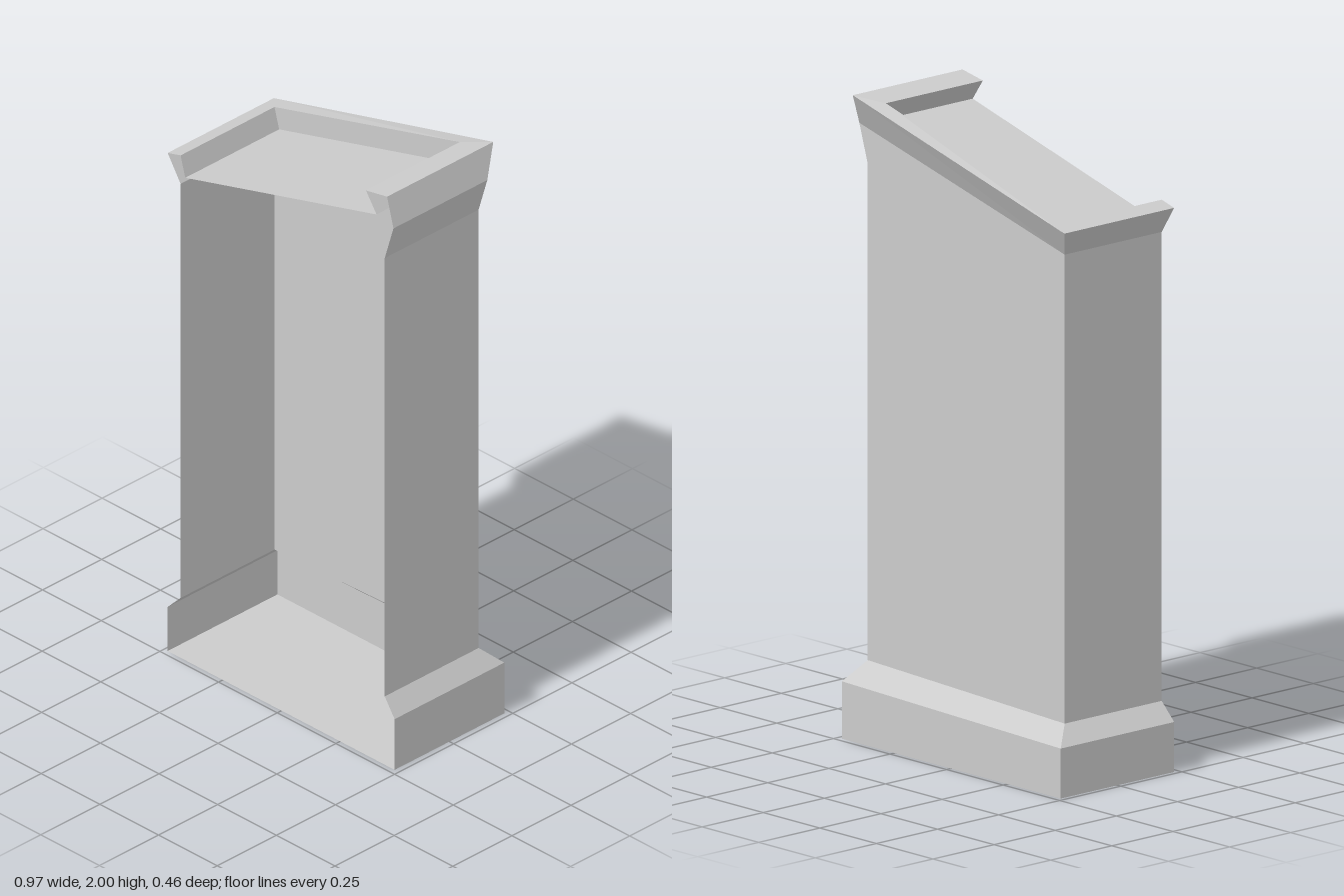
import * as THREE from 'three';

const FRONT = 0.232; // open front plane

// U-shaped section: left front, left back, right back, right front
const section = ([xl, yl, xr, yr, back]) => [
  [xl, yl, FRONT], [xl, yl, back], [xr, yr, back], [xr, yr, FRONT],
];

// Quad as two flat triangles, corners counter-clockwise from outside
const quad = (a, b, c, d) => [a, b, c, a, c, d];

function makeMesh(name, points, material) {
  const geometry = new THREE.BufferGeometry();
  geometry.setAttribute('position', new THREE.Float32BufferAttribute(points.flat(), 3));
  geometry.computeVertexNormals();
  const mesh = new THREE.Mesh(geometry, material);
  mesh.name = name;
  return mesh;
}

// Three-sided shell joining consecutive sections
function shell(levels) {
  const rings = levels.map(section);
  const points = [];
  for (let i = 0; i + 1 < rings.length; i++) {
    const low = rings[i], high = rings[i + 1];
    for (let j = 0; j < 3; j++) {
      points.push(...quad(low[j], high[j], high[j + 1], low[j + 1]));
    }
  }
  return points;
}

export function createModel() {
  const group = new THREE.Group();
  group.name = 'slantedPedestal';
  const material = new THREE.MeshStandardMaterial({
    color: 0xcccccc, flatShading: true, side: THREE.DoubleSide,
  });

  // Levels: left x, left y, right x, right y, back z
  const foot = [-0.485, 0, 0.482, 0, -0.232];
  const plinthTop = [-0.485, 0.155, 0.482, 0.178, -0.232];
  const bodyBottom = [-0.43, 0.21, 0.44, 0.24, -0.165];
  const bodyTop = [-0.43, 1.665, 0.44, 1.78, -0.165];
  const neck = [-0.43, 1.665, 0.477, 1.9, -0.165];
  const rimOuter = [-0.485, 1.75, 0.45, 2.0, -0.217];
  const rimInner = [-0.43, 1.765, 0.36, 1.983, -0.165];
  const recess = [-0.41, 1.695, 0.405, 1.918, -0.165];

  // Plinth with sloping ledge, and its bottom panel
  group.add(makeMesh('plinth', shell([foot, plinthTop, bodyBottom]), material));
  const [a, b, c, d] = section(foot);
  group.add(makeMesh('bottomPanel', quad(a, b, c, d), material));

  // Hollow body, open at the front
  group.add(makeMesh('body', shell([bodyBottom, bodyTop, neck]), material));

  // Flared rim and the sloping recessed top
  group.add(makeMesh('rim', shell([neck, rimOuter, rimInner, recess]), material));
  const [e, f, g, h] = section(recess);
  group.add(makeMesh('slopingTop', quad(e, h, g, f), material));

  return group;
}
